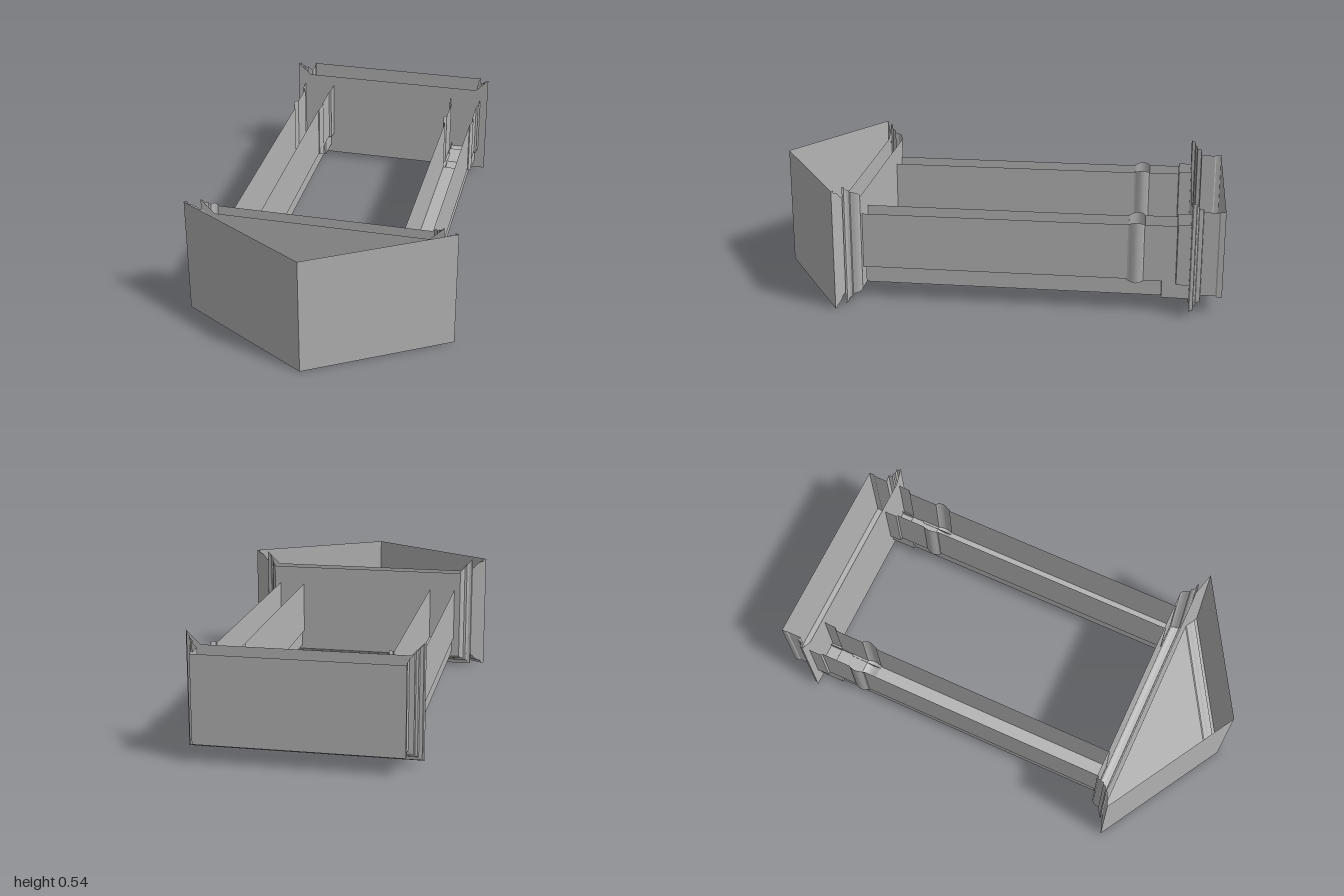
import * as THREE from 'three';

const stone = new THREE.MeshStandardMaterial({ color: 0xb4b4b4, side: THREE.DoubleSide });
stone.name = 'stone';

// mesh from a list of four-cornered faces with hard edges
function quadMesh(name, quads) {
  const pos = [];
  for (const [a, b, c, d] of quads) pos.push(...a, ...b, ...c, ...a, ...c, ...d);
  const g = new THREE.BufferGeometry();
  g.setAttribute('position', new THREE.Float32BufferAttribute(pos, 3));
  g.computeVertexNormals();
  const m = new THREE.Mesh(g, stone);
  m.name = name;
  return m;
}

// open U section (left wall, floor, right wall) grown outward by d
const section = (w, y0, y1, d, z) => [
  [-w - d, y1 + d, z], [-w - d, y0 - d, z], [w + d, y0 - d, z], [w + d, y1 + d, z]];

// U-shaped shell following a moulding profile of [z, outward offset]
function shell(name, w, y0, y1, profile) {
  const quads = [];
  for (let i = 0; i < profile.length - 1; i++) {
    const a = section(w, y0, y1, profile[i][1], profile[i][0]);
    const b = section(w, y0, y1, profile[i + 1][1], profile[i + 1][0]);
    for (let s = 0; s < 3; s++) quads.push([a[s], a[s + 1], b[s + 1], b[s]]);
  }
  return quadMesh(name, quads);
}

// end plate closing a shell; wings rise to the moulding tips
function endPlate(name, w, y0, y1, d, z, facing) {
  const s = new THREE.Shape([
    [-w - d, y1 + d], [-w - d, y0 - d], [w + d, y0 - d], [w + d, y1 + d], [w, y1], [-w, y1],
  ].map(([x, y]) => new THREE.Vector2(x * facing, y)));
  const g = new THREE.ShapeGeometry(s);
  if (facing < 0) g.rotateY(Math.PI).translate(0, 0, z);
  else g.translate(0, 0, z);
  const m = new THREE.Mesh(g, stone);
  m.name = name;
  return m;
}

function createPilaster(side) {
  const p = new THREE.Group();
  p.name = side > 0 ? 'leftPilaster' : 'rightPilaster';
  const shaft = [[0.562, 0], [-0.592, 0], [-0.592, 0.004], [-0.6, 0.006]];
  // rounded base ring
  for (let i = 0; i <= 8; i++) {
    const t = i / 8;
    shaft.push([-0.605 - 0.05 * t, 0.008 + 0.006 * Math.sin(Math.PI * t)]);
  }
  shaft.push([-0.662, 0.003], [-0.8, 0.003], [-0.803, 0.013], [-0.858, 0.014]);
  p.add(shell('pilasterShaft', 0.06, 0.145, 0.39, shaft));
  p.add(shell('pilasterPanel', 0.052, 0.073, 0.145,
    [[0.55, 0], [-0.74, 0], [-0.742, 0.007], [-0.858, 0.008]]));
  p.add(quadMesh('panelEnd', [section(0.052, 0.073, 0.145, 0, 0.55)]));
  p.position.x = side * 0.38;
  return p;
}

function createBase() {
  const b = new THREE.Group();
  b.name = 'base';
  const dims = [0.43, 0.08, 0.455];
  b.add(shell('baseMoulding', ...dims, [
    [-1, 0.004], [-0.978, 0.004], [-0.972, 0], [-0.908, 0], [-0.906, 0.022], [-0.888, 0.024],
    [-0.886, 0.034], [-0.878, 0.038], [-0.876, 0.052], [-0.862, 0.054], [-0.858, 0.06]]));
  b.add(endPlate('baseFoot', ...dims, 0.004, -1, -1));
  b.add(endPlate('baseTop', ...dims, 0.06, -0.858, 1));
  return b;
}

function createCornice() {
  const c = new THREE.Group();
  c.name = 'cornice';
  const dims = [0.46, 0.06, 0.475];
  c.add(shell('corniceMoulding', ...dims, [
    [0.56, 0.008], [0.568, 0.018], [0.58, 0.023], [0.598, 0.026], [0.6, 0.036],
    [0.611, 0.04], [0.616, 0.046], [0.618, 0.058], [0.625, 0.06]]));
  c.add(endPlate('corniceSoffit', ...dims, 0.008, 0.56, -1));
  c.add(endPlate('corniceTop', ...dims, 0.06, 0.625, 1));
  return c;
}

function createPediment() {
  const g = new THREE.Group();
  g.name = 'pediment';
  const slope = 0.59, top = 0.533;
  // raking line inset by s from the roof, cut off at the eaves
  const end = s => (0.561 - s) / 0.96;
  const apex = (s, y) => [0, y, 1 - s];
  const eave = (side, s, y) => [side * end(s), y, 1 - s - slope * end(s)];
  // [inset, y] from the roof rim down to the recessed panel
  const rake = [[0, 0], [0.014, 0], [0.016, 0.012], [0.026, 0.014], [0.036, 0.019],
    [0.046, 0.028], [0.054, 0.04], [0.06, 0.043], [0.072, 0.046], [0.08, 0.055]];
  const roof = [], moulding = [], returns = [];
  for (const side of [1, -1]) {
    const order = q => (side > 0 ? q : q.reverse());
    roof.push(order([apex(0, 0), eave(side, 0, 0), eave(side, 0, top), apex(0, top)]));
    for (let i = 0; i < rake.length - 1; i++) {
      const [s0, y0] = rake[i], [s1, y1] = rake[i + 1];
      moulding.push(order([apex(s0, y0), apex(s1, y1), eave(side, s1, y1), eave(side, s0, y0)]));
      returns.push(order([eave(side, s0, y0), eave(side, s1, y1),
        eave(side, s1, top - y1), eave(side, s0, top - y0)]));
    }
  }
  g.add(quadMesh('roofSlopes', roof));
  g.add(quadMesh('rakingMoulding', moulding));
  g.add(quadMesh('eaveReturns', returns));
  // recessed triangular panel
  const [s, y] = rake[rake.length - 1];
  const l = eave(-1, s, y), r = eave(1, s, y);
  g.add(quadMesh('pedimentPanel', [
    [l, r, apex(s, y), apex(s, y)],
    [[l[0], y, 0.61], [r[0], y, 0.61], r, l]]));
  return g;
}

export function createModel() {
  const model = new THREE.Group();
  model.name = 'doorSurround';
  model.add(createBase(), createPilaster(1), createPilaster(-1), createCornice(), createPediment());
  return model;
}
